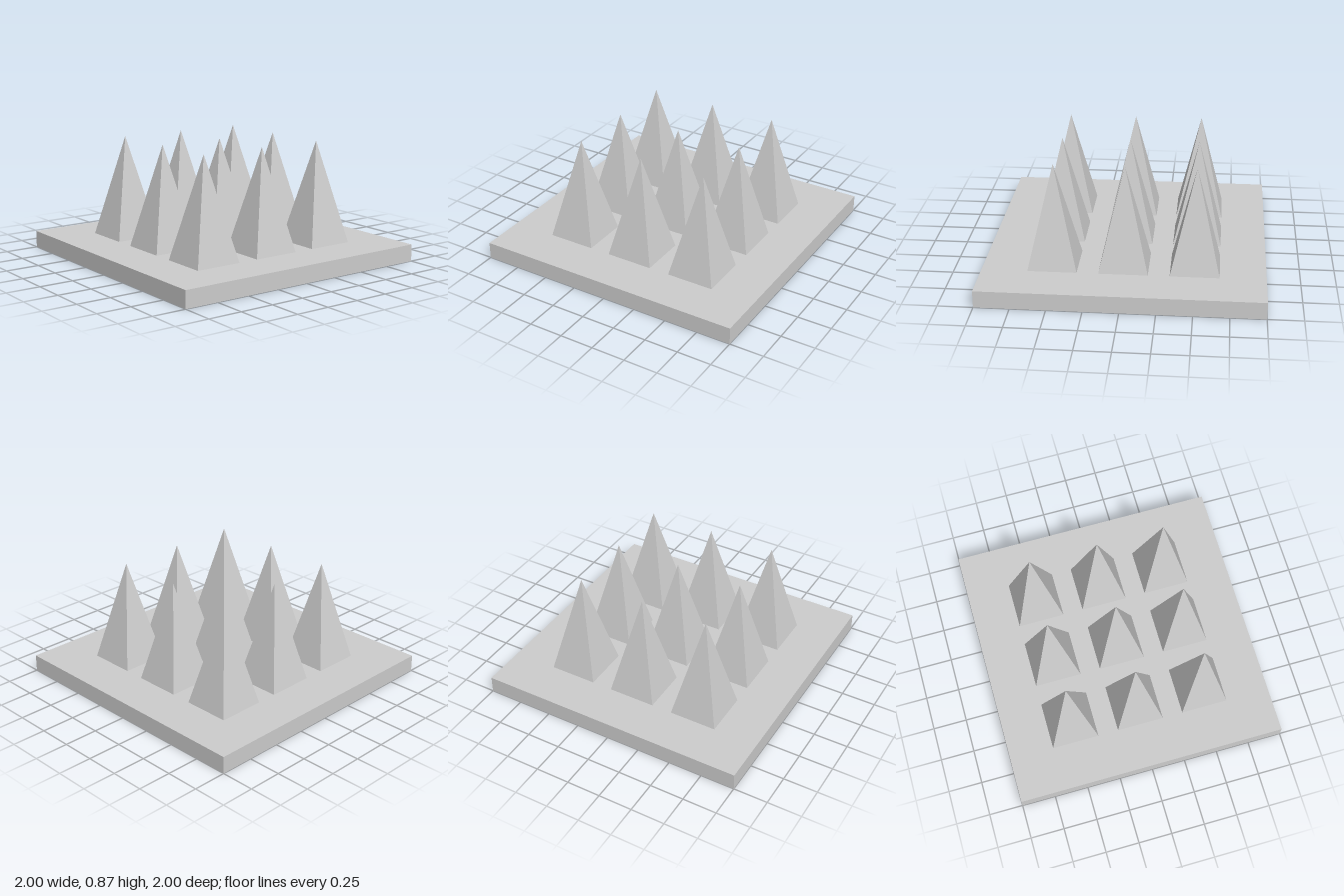
import * as THREE from 'three';

const PLATE = 0.125, SPIKE_HEIGHT = 0.748, SPIKE_HALF = 0.174;

export function createModel() {
  const model = new THREE.Group();
  model.name = 'spikeTrap';
  const grey = new THREE.MeshStandardMaterial({ color: 0xcccccc, side: THREE.DoubleSide });
  grey.name = 'light grey';

  // Thin square tray, open underneath
  const base = new THREE.Group();
  base.name = 'base';
  const top = new THREE.Mesh(new THREE.PlaneGeometry(2, 2).rotateX(-Math.PI / 2), grey);
  top.name = 'baseTop';
  top.position.y = PLATE;
  base.add(top);
  const wallGeometry = new THREE.PlaneGeometry(2, PLATE).translate(0, PLATE / 2, 1);
  for (let i = 0; i < 4; i++) {
    const wall = new THREE.Mesh(wallGeometry, grey);
    wall.name = 'baseWall';
    wall.rotation.y = i * Math.PI / 2;
    base.add(wall);
  }
  model.add(base);

  // Three by three grid of four-sided spikes
  const spikeGeometry = new THREE.ConeGeometry(SPIKE_HALF * Math.SQRT2, SPIKE_HEIGHT, 4, 1, true)
    .rotateY(Math.PI / 4)
    .translate(0, PLATE + SPIKE_HEIGHT / 2, 0)
    .toNonIndexed();
  spikeGeometry.computeVertexNormals();
  for (const x of [-0.5, 0, 0.5]) {
    for (const z of [-0.5, 0, 0.5]) {
      const spike = new THREE.Mesh(spikeGeometry, grey);
      spike.name = 'spike';
      spike.position.set(x, 0, z);
      model.add(spike);
    }
  }
  return model;
}
